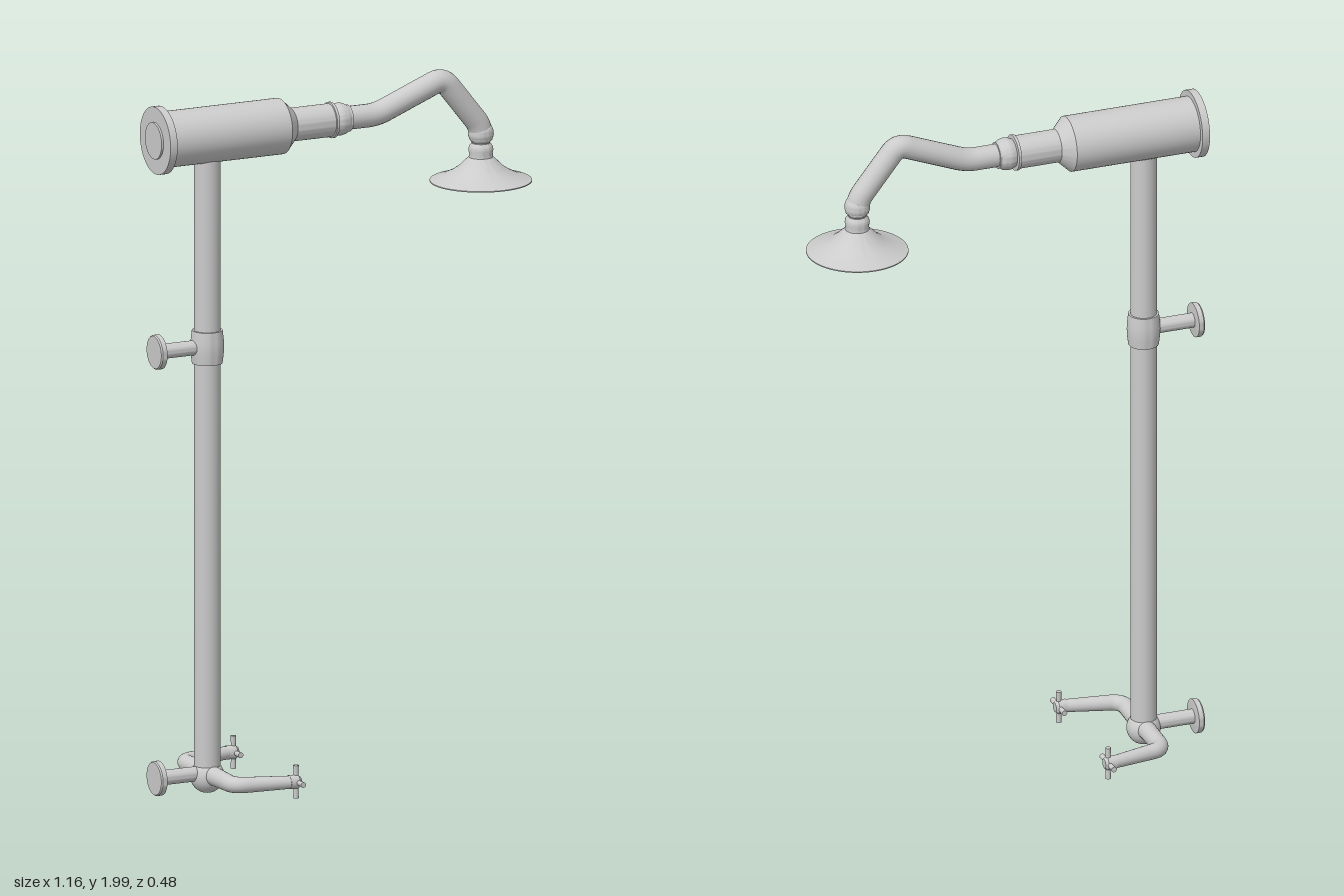
import * as THREE from 'three';
import { toCreasedNormals } from 'three/addons/utils/BufferGeometryUtils.js';

const material = new THREE.MeshStandardMaterial({ color: 0xcccccc, side: THREE.DoubleSide });

function add(parent, name, geometry, x = 0, y = 0, z = 0) {
  const mesh = new THREE.Mesh(geometry, material);
  mesh.name = name;
  mesh.position.set(x, y, z);
  parent.add(mesh);
  return mesh;
}

// Turned part; profile is [radius, height] from bottom to top
function turned(profile, segments = 40) {
  const points = profile.map(([r, h]) => new THREE.Vector2(r, h));
  return toCreasedNormals(new THREE.LatheGeometry(points, segments), 0.5);
}

// Turned part lying along x; profile is [radius, x]
const turnedX = (profile, segments) => turned(profile, segments).rotateZ(-Math.PI / 2);

// Straight runs joined by rounded corners
function bentPath(corners, fillet) {
  const p = corners.map((c) => new THREE.Vector3(...c));
  const path = new THREE.CurvePath();
  let start = p[0];
  for (let i = 1; i < p.length - 1; i++) {
    const towards = (q) => p[i].clone().add(q.clone().sub(p[i]).setLength(fillet));
    const a = towards(p[i - 1]);
    const b = towards(p[i + 1]);
    path.add(new THREE.LineCurve3(start, a));
    path.add(new THREE.QuadraticBezierCurve3(a, p[i], b));
    start = b;
  }
  path.add(new THREE.LineCurve3(start, p[p.length - 1]));
  return path;
}

// Pipe that narrows from r0 to r1 along the path
function pipe(path, r0, r1 = r0) {
  const geometry = new THREE.TubeGeometry(path, 64, r0, 20);
  const { position, uv } = geometry.attributes;
  const v = new THREE.Vector3();
  for (let i = 0; i < position.count; i++) {
    const u = uv.getX(i);
    const centre = path.getPointAt(u);
    v.fromBufferAttribute(position, i).sub(centre);
    v.multiplyScalar(THREE.MathUtils.lerp(1, r1 / r0, u)).add(centre);
    position.setXYZ(i, v.x, v.y, v.z);
  }
  return geometry;
}

export function createModel() {
  const model = new THREE.Group();
  model.name = 'wallShower';
  const postX = -0.415, topY = 1.89, baseY = 0.057, headX = 0.438;

  // Upright post
  add(model, 'post', new THREE.CylinderGeometry(0.037, 0.037, 1.79, 32), postX, 0.945, 0);

  // Large horizontal body with wall flange, shoulder and coupling rings
  add(model, 'mainBody', turnedX([
    [0, -0.583], [0.052, -0.583], [0.052, -0.577], [0.096, -0.577], [0.096, -0.555],
    [0.079, -0.555], [0.079, -0.188], [0.047, -0.155], [0.047, -0.035], [0.051, -0.034],
    [0.051, -0.026], [0.04, -0.025], [0.045, -0.014], [0.046, -0.003], [0.044, 0.008],
    [0.038, 0.018], [0.038, 0.024], [0, 0.026],
  ], 48), 0, topY, 0);

  // Bent outlet pipe
  const outlet = bentPath([
    [0, topY, 0], [0.112, topY, 0], [0.318, 1.972, 0], [headX, 1.82, 0], [headX, 1.785, 0],
  ], 0.03);
  add(model, 'outletPipe', pipe(outlet, 0.033));

  // Swivel joint and flared spray head
  const swivel = [[0, 1.76], [0.025, 1.765]];
  for (let i = 0; i <= 10; i++) {
    const a = -0.8 + (i / 10) * 1.9;
    swivel.push([0.036 * Math.cos(a), 1.802 + 0.036 * Math.sin(a)]);
  }
  swivel.push([0, 1.835]);
  add(model, 'swivelBall', turned(swivel), headX, 0, 0);
  add(model, 'sprayHead', turned([
    [0, 1.668], [0.143, 1.665], [0.143, 1.668], [0.112, 1.678], [0.085, 1.691],
    [0.063, 1.706], [0.046, 1.723], [0.034, 1.734], [0.033, 1.745], [0.035, 1.755],
    [0.033, 1.765], [0.026, 1.774], [0, 1.776],
  ], 56), headX, 0, 0);

  // Wall mounts: stem and round plate
  for (const [name, y] of [['upperMount', 1.283], ['lowerMount', 0.06]]) {
    add(model, name, turnedX([
      [0, -0.581], [0.046, -0.581], [0.049, -0.577], [0.049, -0.563],
      [0.021, -0.561], [0.021, postX], [0, postX],
    ]), 0, y, 0);
  }
  add(model, 'postCollar', turned([
    [0.036, -0.047], [0.043, -0.047], [0.046, -0.02], [0.047, 0],
    [0.046, 0.02], [0.043, 0.047], [0.036, 0.047],
  ]), postX, 1.283, 0);
  add(model, 'baseJoint', new THREE.SphereGeometry(0.048, 32, 20), postX, baseY - 0.006, 0);

  // Mirrored inlet arms with cross handles
  for (const side of [1, -1]) {
    const arm = new THREE.Group();
    arm.name = side > 0 ? 'frontInlet' : 'rearInlet';
    const path = bentPath([
      [-0.412, baseY, 0], [-0.412, baseY, side * 0.162], [-0.245, baseY, side * 0.197],
    ], 0.035);
    add(arm, 'inletPipe', pipe(path, 0.028, 0.018));

    const handle = new THREE.Group();
    handle.name = 'crossHandle';
    handle.position.set(-0.236, baseY, side * 0.195);
    add(handle, 'hub', turnedX([
      [0, -0.022], [0.019, -0.022], [0.02, 0.004], [0.014, 0.012], [0, 0.014],
    ], 24));
    const bar = [[0, -0.047], [0.008, -0.047], [0.006, 0], [0.008, 0.047], [0, 0.047]];
    add(handle, 'uprightBar', turned(bar, 16));
    add(handle, 'crossBar', turned(bar, 16).rotateX(Math.PI / 2));
    arm.add(handle);
    model.add(arm);
  }
  return model;
}
